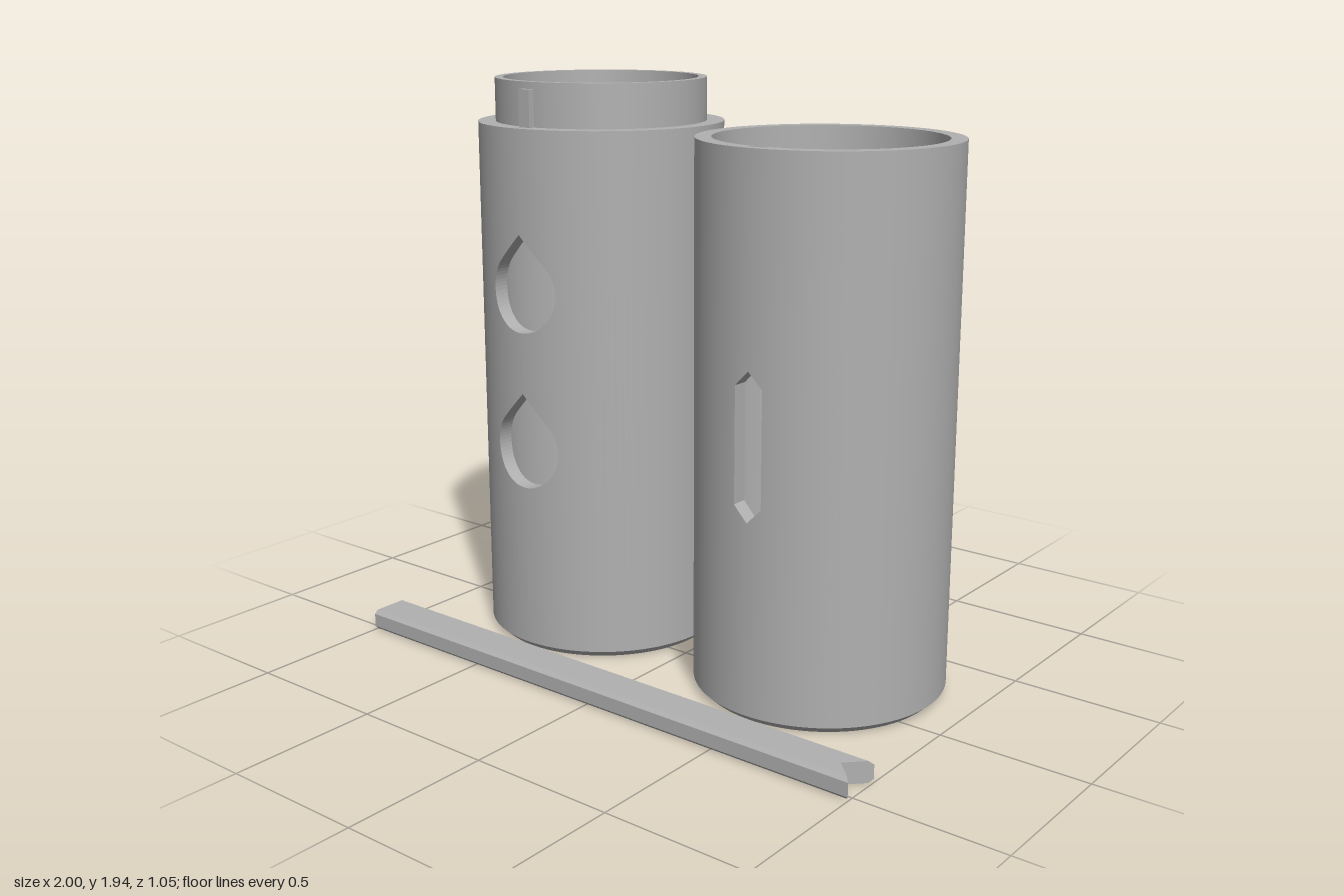
import * as THREE from 'three';
import { mergeGeometries } from 'three/addons/utils/BufferGeometryUtils.js';

const R = 0.417, CAVITY = 0.365, BASE = 0.025, TOP = 1.795, FLOOR = 0.05;
const RIB_START = 0.3, RIB_COUNT = 20, RIB_DEPTH = 0.027, RIB_ANGLE = 0.97;
const TAU = Math.PI * 2;

// Surface of revolution with crisp profile corners (upward profile faces outward)
function revolve(points, start = 0, length = TAU) {
  const segments = Math.max(4, Math.ceil(length / TAU * 120));
  const rings = [];
  for (let i = 0; i + 1 < points.length; i++) {
    const pair = [points[i], points[i + 1]].map(p => new THREE.Vector2(p[0], p[1]));
    rings.push(new THREE.LatheGeometry(pair, segments, start, length));
  }
  return mergeGeometries(rings);
}

// Triangles from a flat list of corner points
function fromCorners(corners) {
  const g = new THREE.BufferGeometry();
  g.setAttribute('position', new THREE.Float32BufferAttribute(corners.flat(), 3));
  g.computeVertexNormals();
  return g;
}

// Curved front strip of wall, |x| < w, pierced by holes given as x -> [low, high]
function piercedPanel(w, yTop, holes) {
  const corners = [], N = 32;
  const quad = (a, b, c, d, flip) =>
    corners.push(...(flip ? [a, d, c, a, c, b] : [a, b, c, a, c, d]));
  const at = (r, x, y) => [x, y, Math.sqrt(r * r - x * x)];
  const limits = x => [BASE, ...holes.flatMap(h => h(x)), yTop];
  for (let i = 0; i < N; i++) {
    const x0 = -w * Math.cos(Math.PI * i / N), x1 = -w * Math.cos(Math.PI * (i + 1) / N);
    const l0 = limits(x0), l1 = limits(x1);
    for (let k = 0; k < l0.length; k += 2) {
      for (const r of [R, CAVITY]) {
        quad(at(r, x0, l0[k]), at(r, x1, l1[k]), at(r, x1, l1[k + 1]), at(r, x0, l0[k + 1]), r === CAVITY);
      }
    }
    // floor and ceiling of each hole
    for (let k = 1; k < l0.length - 1; k++) {
      quad(at(CAVITY, x0, l0[k]), at(R, x0, l0[k]), at(R, x1, l1[k]), at(CAVITY, x1, l1[k]), k % 2 === 0);
    }
  }
  // upright sides of each hole
  for (const x of [-w, w]) {
    for (const hole of holes) {
      const [lo, hi] = hole(x);
      if (hi - lo > 0.001) quad(at(R, x, lo), at(CAVITY, x, lo), at(CAVITY, x, hi), at(R, x, hi), x > 0);
    }
  }
  return fromCorners(corners);
}

// Flat ends closing the V grooves at both sides of the ribbed area
function grooveEnds(grooves) {
  const corners = [];
  for (const side of [-1, 1]) {
    const phi = Math.PI + side * RIB_ANGLE;
    const at = (r, y) => [r * Math.sin(phi), y, r * Math.cos(phi)];
    for (const [lo, mid, hi] of grooves) {
      const tri = [at(R, lo), at(R - RIB_DEPTH, mid), at(R, hi)];
      corners.push(...(side < 0 ? tri : tri.reverse()));
    }
  }
  return fromCorners(corners);
}

// Teardrop hole: circle with a 45 degree peak
const teardrop = (cy, r) => x => {
  const arc = Math.sqrt(Math.max(0, r * r - x * x));
  return [cy - arc, cy + (Math.abs(x) > r * Math.SQRT1_2 ? arc : r * Math.SQRT2 - Math.abs(x))];
};
// Upright slot with pointed ends
const slot = (lo, hi) => x => [lo + Math.abs(x), hi - Math.abs(x)];

export function createModel() {
  const model = new THREE.Group();
  const grey = new THREE.MeshStandardMaterial({ color: 0xb0b0b0 });
  grey.name = 'plain grey';
  const add = (parent, name, geometry) => {
    const mesh = new THREE.Mesh(geometry, grey);
    mesh.name = name;
    parent.add(mesh);
    return mesh;
  };

  // Ribbed back profile
  const pitch = (TOP - RIB_START) / RIB_COUNT, land = 0.02;
  const ribProfile = [[R, BASE]], grooves = [];
  for (let i = 0; i < RIB_COUNT; i++) {
    const lo = RIB_START + i * pitch, hi = lo + pitch - land, mid = (lo + hi) / 2;
    ribProfile.push([R, lo], [R - RIB_DEPTH, mid], [R, hi]);
    grooves.push([lo, mid, hi]);
  }
  ribProfile.push([R, TOP]);

  // Parts shared by both cylinders
  function canister(name, x, w, panelTop, cavityTop, holes) {
    const g = new THREE.Group();
    g.name = name;
    g.position.set(x, 0, -0.11);
    model.add(g);
    const a = Math.asin(w / R), b = Math.asin(w / CAVITY);
    const sideLength = Math.PI - RIB_ANGLE - a;
    add(g, 'base', revolve([[0, 0], [R - 0.027, 0], [R, BASE]]));
    add(g, 'leftWall', revolve([[R, BASE], [R, TOP]], a, sideLength));
    add(g, 'rightWall', revolve([[R, BASE], [R, TOP]], Math.PI + RIB_ANGLE, sideLength));
    add(g, 'ribbedBack', revolve(ribProfile, Math.PI - RIB_ANGLE, 2 * RIB_ANGLE));
    add(g, 'grooveEnds', grooveEnds(grooves));
    add(g, 'frontPanel', piercedPanel(w, panelTop, holes));
    add(g, 'innerWall', revolve([[CAVITY, cavityTop], [CAVITY, FLOOR]], b, TAU - 2 * b));
    add(g, 'cavityFloor', revolve([[CAVITY, FLOOR], [0, FLOOR]]));
    return { g, a };
  }

  // Cylinder with collar and teardrop holes
  const drop = 0.136, neck = 1.735;
  const body = canister('collaredCylinder', -0.452, drop, neck, neck,
    [teardrop(0.722, drop), teardrop(1.258, drop)]);
  add(body.g, 'frontBand', revolve([[R, neck], [R, TOP]], -body.a, 2 * body.a));
  add(body.g, 'collar', revolve([[R, TOP], [0.358, TOP], [0.358, 1.94], [0.33, 1.94],
    [0.33, 1.77], [CAVITY, neck]]));
  add(body.g, 'collarKey', new THREE.BoxGeometry(0.045, 0.122, 0.03)).position.set(0, 1.856, 0.364);

  // Open cylinder with a pointed slot and an inner keyway
  const half = 0.05, keyBottom = 1.62;
  const sleeve = canister('openCylinder', 0.477, half, keyBottom, TOP, [slot(0.66, 1.135)]);
  add(sleeve.g, 'rim', revolve([[R, TOP], [CAVITY, TOP]], sleeve.a, TAU - 2 * sleeve.a));
  const section = [];
  const arcPoint = (r, x) => section.push(new THREE.Vector2(x, -Math.sqrt(r * r - x * x)));
  for (let i = 0; i <= 12; i++) arcPoint(R, half * (i / 6 - 1));
  for (const x of [half, 0.04, 0.03]) arcPoint(CAVITY, x);
  section.push(new THREE.Vector2(0.03, -0.385), new THREE.Vector2(-0.03, -0.385));
  for (const x of [-0.03, -0.04, -half]) arcPoint(CAVITY, x);
  const keyway = new THREE.ExtrudeGeometry(new THREE.Shape(section),
    { depth: TOP - keyBottom, bevelEnabled: false });
  keyway.rotateX(-Math.PI / 2);
  add(sleeve.g, 'keywayWall', keyway).position.y = keyBottom;

  // Chamfered bar with a V notch in one end, built as two mirrored halves
  const bar = new THREE.Group();
  bar.name = 'notchedBar';
  bar.position.z = 0.455;
  model.add(bar);
  const hw = 0.07, h = 0.07, c = 0.012;
  for (const s of [-1, 1]) {
    const outline = [[0, 0], [hw - c, 0], [hw, c], [hw, h - c], [hw - c, h], [0, h]]
      .map(p => new THREE.Vector2(s * p[0], p[1]));
    const g = new THREE.ExtrudeGeometry(new THREE.Shape(outline), { depth: 2, bevelEnabled: false });
    g.rotateY(Math.PI / 2).translate(-1, 0, 0);
    const p = g.attributes.position;
    for (let i = 0; i < p.count; i++) {
      if (p.getX(i) > 0) p.setX(i, 1 - (hw - Math.abs(p.getZ(i))));
    }
    g.computeVertexNormals();
    add(bar, s < 0 ? 'frontHalf' : 'backHalf', g);
  }
  return model;
}
